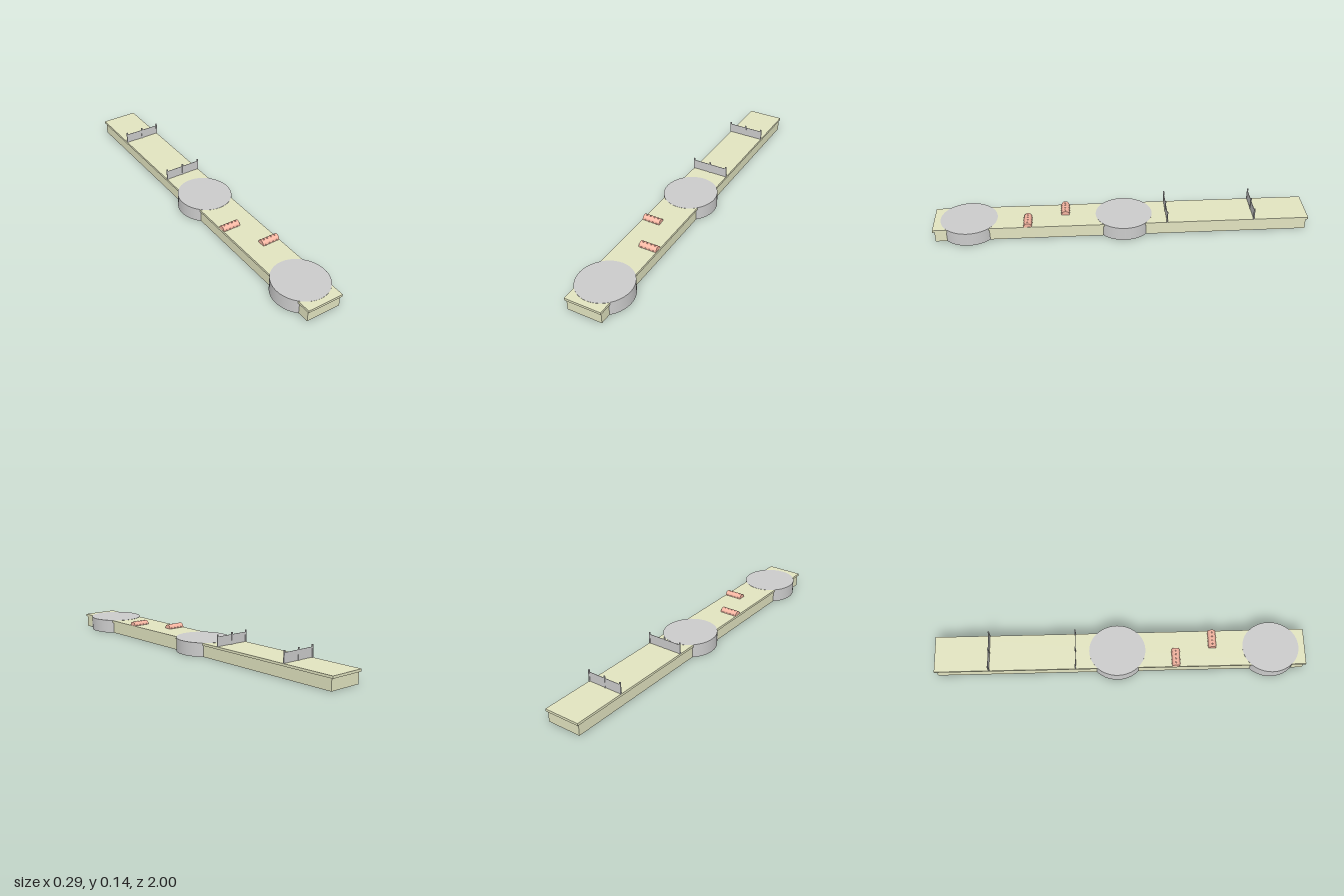
import * as THREE from 'three';

const stone = new THREE.MeshStandardMaterial({ color: 0xe2e4c0 });
const grey = new THREE.MeshStandardMaterial({ color: 0xcccccc });
const pink = new THREE.MeshStandardMaterial({ color: 0xf6b6a2 });

function add(parent, name, geometry, material, x, y, z) {
  const mesh = new THREE.Mesh(geometry, material);
  mesh.name = name;
  mesh.position.set(x, y, z);
  parent.add(mesh);
  return mesh;
}

// Fence across the deck: three posts and two thin panels
function fence(z) {
  const group = new THREE.Group();
  group.name = 'fence';
  group.position.set(0, 0.074, z);
  for (const x of [-0.098, 0, 0.098]) {
    add(group, 'fencePost', new THREE.BoxGeometry(0.007, 0.065, 0.006), grey, x, 0.0325, 0);
  }
  for (const x of [-0.049, 0.049]) {
    add(group, 'fencePanel', new THREE.BoxGeometry(0.092, 0.052, 0.002), grey, x, 0.027, 0);
  }
  return group;
}

// Half-sunk roller with rows of studs on the top, front and back
function roller(x, z) {
  const group = new THREE.Group();
  group.name = 'roller';
  group.position.set(x, 0.075, z);
  const r = 0.021;
  const body = new THREE.CylinderGeometry(r, r, 0.098, 24, 1, false, 0, Math.PI);
  body.rotateZ(Math.PI / 2);
  add(group, 'rollerBody', body, pink, 0, 0, 0);
  // Flat underside closes the half cylinder
  add(group, 'rollerUnderside', new THREE.BoxGeometry(0.098, 0.002, 2 * r), pink, 0, -0.001, 0);
  const stud = new THREE.SphereGeometry(0.0045, 12, 8);
  for (const angle of [0.1, Math.PI / 2, Math.PI - 0.1]) {
    for (let i = 0; i < 4; i++) {
      add(group, 'rollerStud', stud, pink, (i - 1.5) * 0.022, r * Math.sin(angle) * 0.93, r * Math.cos(angle) * 0.93);
    }
  }
  return group;
}

export function createModel() {
  const model = new THREE.Group();
  model.name = 'walkway';

  // Foundation in five blocks under an overhanging deck
  const cuts = [0.99, 0.6, 0.2, -0.2, -0.6, -0.99];
  for (let i = 0; i < 5; i++) {
    const length = cuts[i] - cuts[i + 1];
    add(model, 'foundationBlock', new THREE.BoxGeometry(0.19, 0.062, length), stone, 0, 0.031, cuts[i] - length / 2);
  }
  add(model, 'deck', new THREE.BoxGeometry(0.2, 0.013, 2), stone, 0, 0.0675, 0);

  // Slightly oval round platforms
  for (const z of [0.815, -0.014]) {
    const disc = new THREE.CylinderGeometry(0.143, 0.143, 0.075, 40);
    disc.scale(1, 1, 0.152 / 0.143);
    add(model, 'roundPlatform', disc, grey, 0, 0.0375, z);
  }

  model.add(roller(0.05, 0.5), roller(-0.05, 0.3));
  model.add(fence(-0.24), fence(-0.705));
  return model;
}
